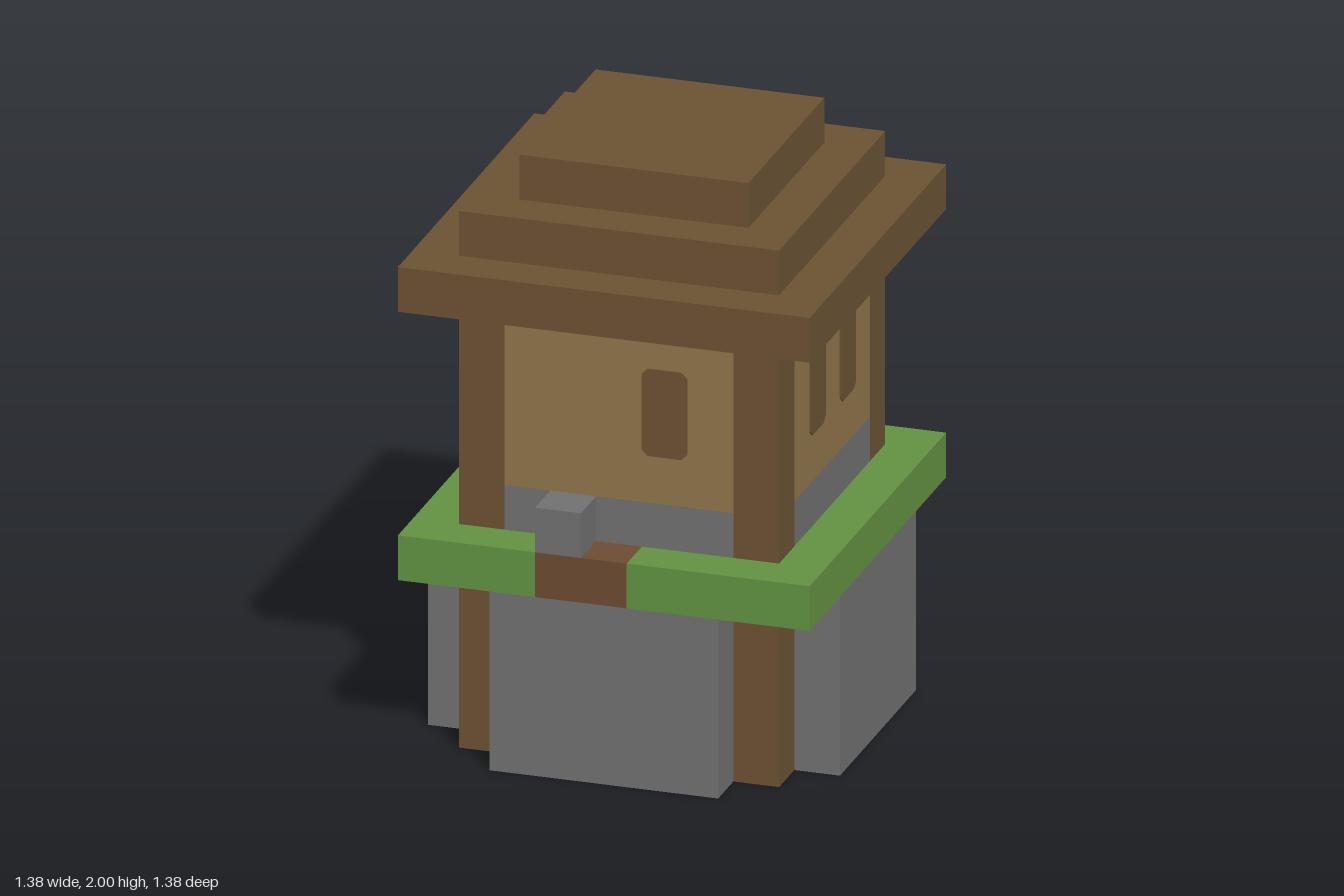
import * as THREE from 'three';

const U = 2 / 13; // one block

const mat = (name, color) => {
  const m = new THREE.MeshStandardMaterial({ color });
  m.name = name;
  return m;
};

export function createModel() {
  const wood = mat('dark wood', 0x6b5233);
  const plank = mat('tan plank', 0x8f754a);
  const stone = mat('grey stone', 0x707070);
  const grass = mat('green grass', 0x619140);
  const dirt = mat('brown dirt', 0x6b4c32);

  const root = new THREE.Group();
  root.name = 'watchtower';

  // Box from its extents, in blocks
  const block = (name, material, x0, x1, y0, y1, z0, z1, parent = root) => {
    const g = new THREE.BoxGeometry((x1 - x0) * U, (y1 - y0) * U, (z1 - z0) * U);
    const m = new THREE.Mesh(g, material);
    m.position.set((x0 + x1) / 2 * U, (y0 + y1) / 2 * U, (z0 + z1) / 2 * U);
    m.name = name;
    parent.add(m);
    return m;
  };

  // Corner posts, below and above the ledge
  for (const x of [-3.5, 2.5]) for (const z of [-3.5, 2.5]) {
    block('lowerPost', wood, x, x + 1, 0, 4, z, z + 1);
    block('upperPost', wood, x, x + 1, 5, 10, z, z + 1);
  }

  // Plank floor between the posts
  block('floor', plank, -2.5, 2.5, 0, 1, -3.5, 3.5);
  block('floorLeft', plank, 2.5, 3.5, 0, 1, -2.5, 2.5);
  block('floorRight', plank, -3.5, -2.5, 0, 1, -2.5, 2.5);

  // Window: thin plate with clipped corners
  const w = 0.5 * U, h = 0.15, c = 0.02;
  const pane = new THREE.Shape([
    [-w + c, -h], [w - c, -h], [w, -h + c], [w, h - c],
    [w - c, h], [-w + c, h], [-w, h - c], [-w, -h + c],
  ].map(([x, y]) => new THREE.Vector2(x, y)));
  const paneGeometry = new THREE.ExtrudeGeometry(pane, { depth: 0.004, bevelEnabled: false });

  // Four sides: stone buttress, stone course, plank wall, windows
  ['front', 'left', 'back', 'right'].forEach((side, i) => {
    const face = new THREE.Group();
    face.name = side + 'Side';
    face.rotation.y = i * Math.PI / 2;
    root.add(face);
    block('buttress', stone, -2.5, 2.5, 0, 4, 3.5, 4.5, face);
    block('stoneCourse', stone, -2.5, 2.5, 5, 6, 2.5, 3.5, face);
    block('wall', plank, -2.5, 2.5, 6, 10, 2.5, 3.5, face);
    for (const x of side === 'front' ? [1] : [-1, 1]) {
      const win = new THREE.Mesh(paneGeometry, wood);
      win.name = 'window';
      win.position.set(x * U, 1.235, 3.5 * U);
      face.add(win);
    }
  });

  // Grass ledge with a dirt gap at the front
  block('grassLedge', grass, -4.5, 4.5, 4, 5, -4.5, 3.5);
  block('grassFrontRight', grass, -4.5, -1.5, 4, 5, 3.5, 4.5);
  block('grassFrontLeft', grass, 0.5, 4.5, 4, 5, 3.5, 4.5);
  block('dirtPatch', dirt, -1.5, 0.5, 4, 5, 3.5, 4.5);
  block('stoneBlock', stone, -1.5, -0.5, 5, 6, 3.5, 4.5);

  // Stepped roof
  [4.5, 3.5, 2.5].forEach((r, i) =>
    block('roofTier', wood, -r, r, 10 + i, 11 + i, -r, r));

  return root;
}
